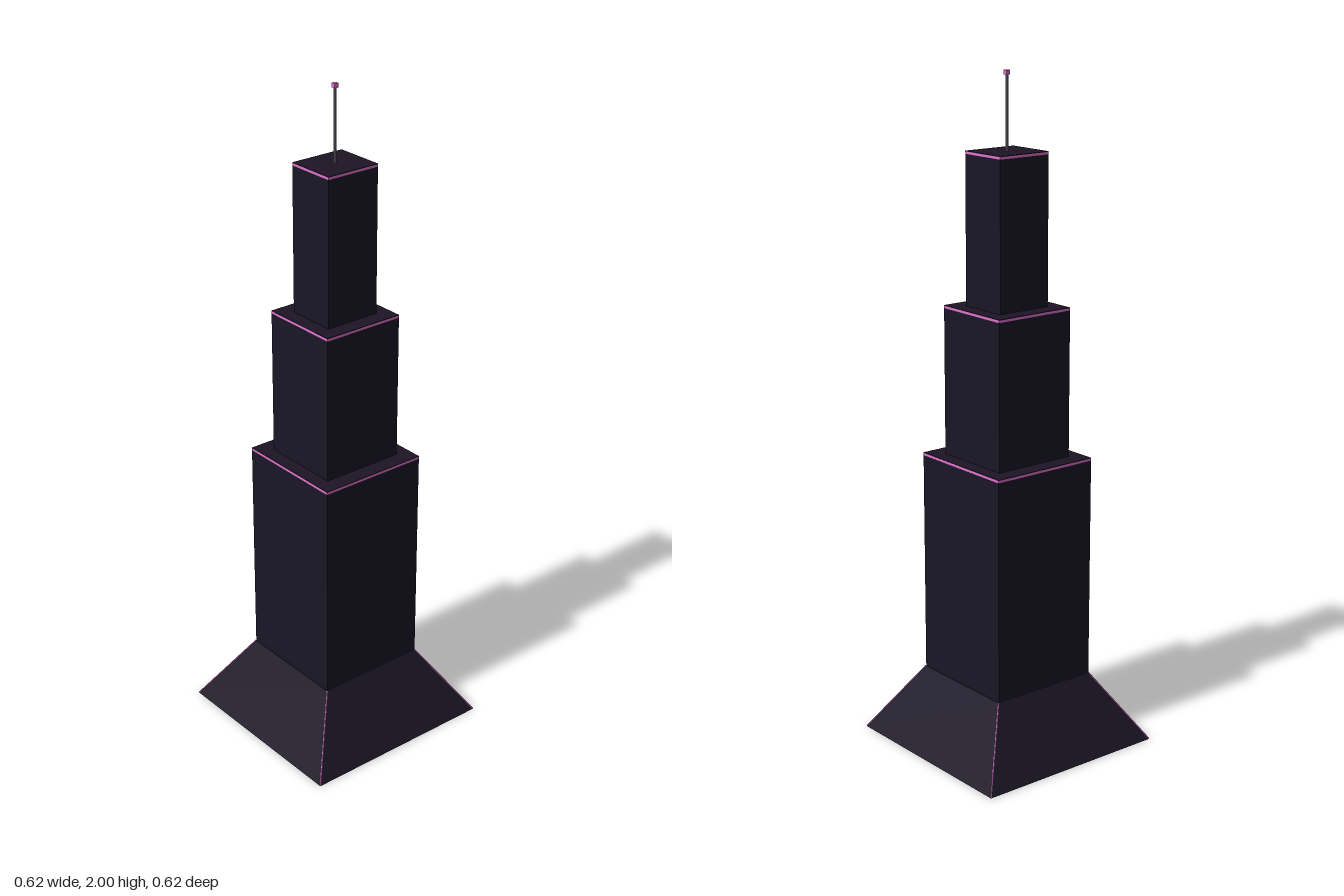
import * as THREE from 'three';

export function createModel() {
  const model = new THREE.Group();
  const mat = (color) => new THREE.MeshStandardMaterial({ color, flatShading: true });
  const wall = mat(0x1a1626), roof = mat(0x1d1524), pink = mat(0xe070cc), grey = mat(0x777580);

  const add = (name, geometry, material, x = 0, y = 0, z = 0, parent = model) => {
    const mesh = new THREE.Mesh(geometry, material);
    mesh.name = name;
    mesh.position.set(x, y, z);
    parent.add(mesh);
    return mesh;
  };

  // Sloped plinth: a four-sided cylinder turned square to the axes
  const baseHalf = 0.306, baseTop = 0.21;
  const plinth = new THREE.CylinderGeometry(0.175 * Math.SQRT2, baseHalf * Math.SQRT2, baseTop, 4);
  plinth.rotateY(Math.PI / 4);
  add('plinth', plinth, wall, 0, baseTop / 2, 0);

  // Glowing ridges along the four plinth corners
  const up = new THREE.Vector3(0, 1, 0);
  for (const sx of [-1, 1]) for (const sz of [-1, 1]) {
    const a = new THREE.Vector3(sx * baseHalf, 0.002, sz * baseHalf);
    const b = new THREE.Vector3(sx * 0.176, baseTop, sz * 0.174);
    const dir = b.clone().sub(a);
    const mid = a.clone().add(b).multiplyScalar(0.5);
    const ridge = add('plinthRidge', new THREE.CylinderGeometry(0.002, 0.002, dir.length(), 6), pink, mid.x, mid.y, mid.z);
    ridge.quaternion.setFromUnitVectors(up, dir.normalize());
  }

  // Stepped tower: walls, a trim band and a roof cap on each tier
  const tiers = [
    { name: 'lowerTier', hx: 0.176, hz: 0.173, y0: 0.2, y1: 0.887 },
    { name: 'middleTier', hx: 0.126, hz: 0.13, y0: 0.887, y1: 1.332 },
    { name: 'upperTier', hx: 0.078, hz: 0.087, y0: 1.332, y1: 1.776 },
  ];
  const trim = 0.007, cap = 0.002;
  for (const { name, hx, hz, y0, y1 } of tiers) {
    const tier = new THREE.Group();
    tier.name = name;
    model.add(tier);
    const h = y1 - y0 - trim - cap;
    add('walls', new THREE.BoxGeometry(hx * 2, h, hz * 2), wall, 0, y0 + h / 2, 0, tier);
    add('trimBand', new THREE.BoxGeometry(hx * 2, trim, hz * 2), pink, 0, y0 + h + trim / 2, 0, tier);
    add('roofCap', new THREE.BoxGeometry(hx * 2, cap, hz * 2), roof, 0, y1 - cap / 2, 0, tier);
  }

  // Mast with a small square beacon
  add('mast', new THREE.CylinderGeometry(0.004, 0.004, 0.22, 8), grey, 0, 1.88, 0);
  add('beacon', new THREE.BoxGeometry(0.013, 0.013, 0.013), pink, 0, 1.9935, 0);

  return model;
}
